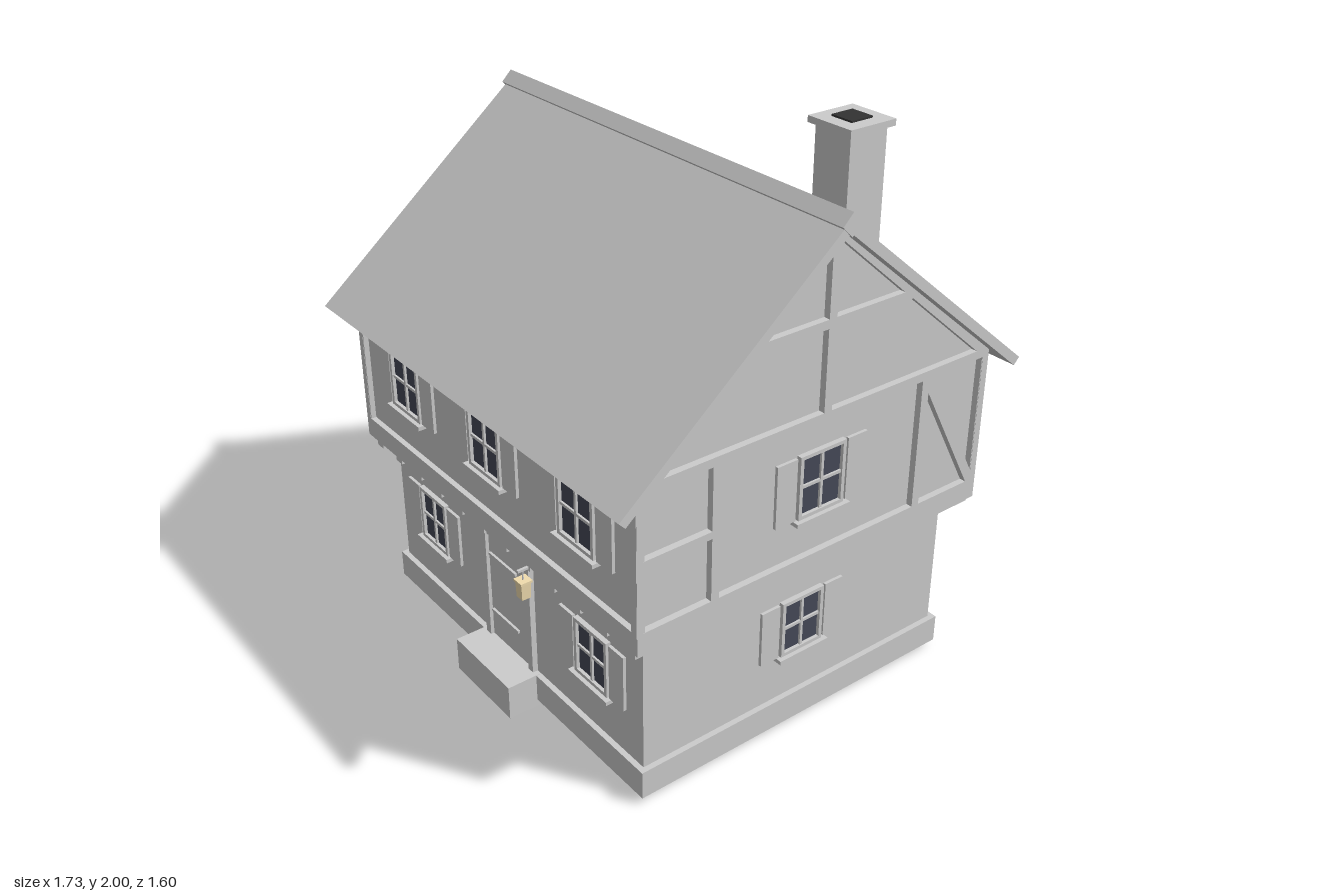
import * as THREE from 'three';

const grey = new THREE.MeshStandardMaterial({ color: 0xcccccc });
const glassMat = new THREE.MeshStandardMaterial({ color: 0x454958 });
const darkMat = new THREE.MeshStandardMaterial({ color: 0x333333 });
const lampMat = new THREE.MeshStandardMaterial({ color: 0xf0dcae });

function add(parent, name, geometry, material = grey) {
  const mesh = new THREE.Mesh(geometry, material);
  mesh.name = name;
  parent.add(mesh);
  return mesh;
}

// Box given by its min and max on each axis
function box(parent, name, [x0, x1], [y0, y1], [z0, z1], material) {
  const mesh = add(parent, name, new THREE.BoxGeometry(x1 - x0, y1 - y0, z1 - z0), material);
  mesh.position.set((x0 + x1) / 2, (y0 + y1) / 2, (z0 + z1) / 2);
  return mesh;
}

const rect = (x0, x1, y0, y1) => [[x0, y0], [x1, y0], [x1, y1], [x0, y1]];

// Flat panel with openings, extruded along +z
function panel(outline, holes, depth, flip = 1) {
  const points = (list) => list.map(([x, y]) => new THREE.Vector2(x * flip, y));
  const shape = new THREE.Shape(points(outline));
  shape.holes = holes.map((hole) => new THREE.Path(points(hole)));
  return new THREE.ExtrudeGeometry(shape, { depth, bevelEnabled: false });
}

// Shuttered four-pane window, facing +z, with its origin at mid-height on the wall
function makeWindow(h, k) {
  const g = new THREE.Group();
  g.name = 'window';
  const t = h / 2;
  const w = 0.093 * k;
  const p = w - 0.013;
  add(g, 'windowFrame', panel(rect(-w, w, -t, t), [rect(-p, p, -t + 0.012, t - 0.012)], 0.018));
  box(g, 'glass', [-p - 0.002, p + 0.002], [-t + 0.01, t - 0.01], [0, 0.006], glassMat);
  box(g, 'mullion', [-0.005, 0.005], [-t + 0.01, t - 0.01], [0, 0.014]);
  box(g, 'glazingBar', [-p - 0.002, p + 0.002], [-0.005, 0.005], [0, 0.013]);
  box(g, 'windowSill', [-w - 0.016, w + 0.016], [-t - 0.014, -t], [0, 0.033]);
  for (const s of [-1, 1]) {
    const shutter = add(g, 'shutter', new THREE.BoxGeometry(0.08 * k, h - 0.005, 0.011));
    shutter.position.set(s * 0.143 * k, 0, 0.0095);
  }
  return g;
}

export function createModel() {
  const house = new THREE.Group();
  house.name = 'timberFramedHouse';

  // Ground floor on a thin plinth that is open underneath
  const plinth = panel(rect(-0.755, 0.755, -0.65, 0.65), [rect(-0.751, 0.751, -0.646, 0.646)], 0.1);
  add(house, 'plinthSkirt', plinth.rotateX(-Math.PI / 2).translate(0, 0.025, 0));
  box(house, 'plinthTop', [-0.755, 0.755], [0.12, 0.126], [-0.65, 0.65]);
  box(house, 'doorStep', [-0.166, 0.166], [0, 0.127], [0.638, 0.76]);
  box(house, 'groundFloorWalls', [-0.735, 0.735], [0.123, 0.64], [-0.63, 0.63]);

  // Floor joists with ends showing under the overhang
  for (let i = 0; i < 12; i++) {
    const x = -0.74 + i * 0.1373;
    box(house, 'floorJoist', [x - 0.02, x + 0.02], [0.61, 0.64], [-0.7, 0.7]);
  }

  // Upper floor with gables
  const roofY = (z) => 1.784 - 0.836 * Math.abs(z);
  const gable = (w, y0) => [[-w, y0], [w, y0], [w, roofY(w)], [0, roofY(0)], [-w, roofY(w)]];
  const walls = panel(gable(0.687, 0.636), [], 1.576);
  walls.translate(0, 0, -0.788).rotateY(Math.PI / 2);
  add(house, 'upperFloorWalls', walls);

  // Timber framing on the gable ends; negative u is towards the front
  const inner = (u) => 1.758 - 0.86 * Math.abs(u);
  const openings = [
    rect(-0.685, -0.435, 0.71, 0.93), rect(-0.685, -0.435, 0.955, 1.17),
    rect(-0.405, 0.405, 0.71, 1.17),
    [[0.435, 0.71], [0.66, 0.71], [0.435, 1.12]],
    [[0.45, 1.17], [0.68, 0.745], [0.68, 1.17]],
  ];
  for (const s of [-1, 1]) {
    openings.push([[s * 0.015, 1.2], [s * 0.648, 1.2], [s * 0.328, 1.475], [s * 0.015, 1.475]]);
    openings.push([[s * 0.015, 1.505], [s * 0.292, 1.505], [s * 0.015, inner(0.015)]]);
  }
  for (const side of [1, -1]) {
    const frame = panel(gable(0.706, 0.635), openings, 0.03, side);
    frame.translate(0, 0, 0.781).rotateY(side * Math.PI / 2);
    add(house, 'gableTimbers', frame);
  }

  // Timber framing on the front and back
  const longFrame = rect(-0.81, 0.81, 0.635, 1.19);
  const front = panel(longFrame, [rect(-0.785, 0.785, 0.71, 1.16)], 0.03);
  add(house, 'frontTimbers', front.translate(0, 0, 0.677));
  const back = panel(longFrame, [rect(-0.785, -0.175, 0.71, 1.16), rect(-0.145, 0.785, 0.71, 1.16)], 0.03);
  add(house, 'backTimbers', back.translate(0, 0, 0.677).rotateY(Math.PI));

  // Roof slabs, folded over the ridge
  const roof = panel([
    [0, 1.822], [-0.8, 1.153], [-0.778, 1.13], [0, 1.781], [0.778, 1.13], [0.8, 1.153],
  ], [], 1.72);
  add(house, 'roof', roof.translate(0, 0, -0.86).rotateY(Math.PI / 2));
  const ridge = add(house, 'ridgeCap', new THREE.BoxGeometry(1.73, 0.053, 0.053));
  ridge.position.y = 1.808;
  ridge.rotation.x = Math.PI / 4;

  // Chimney
  const chimney = new THREE.Group();
  chimney.name = 'chimney';
  chimney.position.set(0.588, 0, -0.248);
  house.add(chimney);
  box(chimney, 'chimneyStack', [-0.073, 0.073], [1.4, 1.98], [-0.073, 0.073]);
  box(chimney, 'chimneyCap', [-0.09, 0.09], [1.973, 1.994], [-0.09, 0.09]);
  box(chimney, 'flue', [-0.042, 0.042], [1.98, 2], [-0.042, 0.042], darkMat);

  // Windows: x, z, [mid-height, height, width factor], heading
  const upper = [0.962, 0.222, 1];
  const lower = [0.402, 0.208, 0.94];
  const q = Math.PI / 2;
  const placements = [
    ...[-0.505, 0, 0.505].map((x) => [x, 0.687, upper, 0]),
    ...[-0.483, 0.483].map((x) => [x, 0.63, lower, 0]),
    ...[0.42, -0.335].map((x) => [x, -0.687, upper, 2 * q]),
    [-0.32, -0.63, lower, 2 * q],
    [0.788, 0, upper, q], [0.735, 0, lower, q], [-0.788, 0, upper, -q],
  ];
  for (const [x, z, [y, h, k], heading] of placements) {
    const w = makeWindow(h, k);
    w.position.set(x, y, z);
    w.rotation.y = heading;
    house.add(w);
  }

  // Front door
  const door = new THREE.Group();
  door.name = 'frontDoor';
  house.add(door);
  box(door, 'doorLeaf', [-0.118, 0.118], [0.125, 0.575], [0.62, 0.637]);
  for (const s of [-1, 1]) {
    box(door, 'doorJamb', [s * 0.132 - 0.014, s * 0.132 + 0.014], [0.125, 0.58], [0.62, 0.65]);
  }
  box(door, 'doorLintel', [-0.157, 0.157], [0.572, 0.61], [0.62, 0.665]);
  for (const y of [0.235, 0.468]) {
    box(door, 'hingeStrap', [-0.108, 0.055], [y - 0.005, y + 0.005], [0.63, 0.646]);
  }

  // Hanging lantern beside the door
  const lantern = new THREE.Group();
  lantern.name = 'lantern';
  lantern.position.x = 0.228;
  house.add(lantern);
  box(lantern, 'lanternArm', [-0.005, 0.005], [0.617, 0.625], [0.62, 0.74]);
  box(lantern, 'lanternRod', [-0.002, 0.002], [0.58, 0.62], [0.718, 0.722]);
  const lamp = new THREE.CylinderGeometry(0.026, 0.023, 0.06, 4).rotateY(Math.PI / 4).toNonIndexed();
  lamp.computeVertexNormals();
  add(lantern, 'lampGlass', lamp, lampMat).position.set(0, 0.547, 0.72);
  box(lantern, 'lampCap', [-0.022, 0.022], [0.576, 0.584], [0.698, 0.742], lampMat);

  return house;
}
